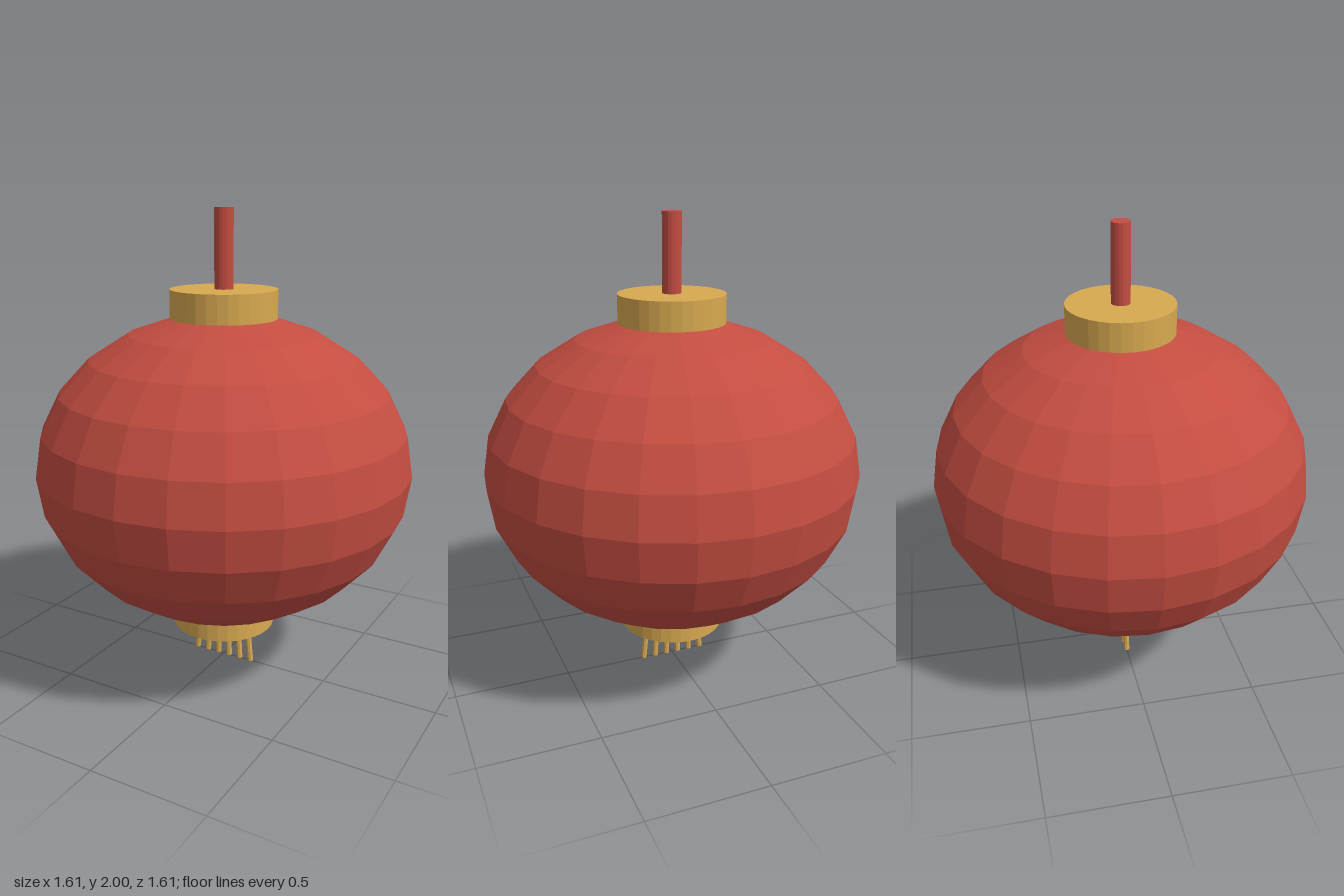
import * as THREE from 'three';

export function createModel() {
  const root = new THREE.Group();
  root.name = 'lantern';

  const flat = (name, color) => {
    const m = new THREE.MeshStandardMaterial({ color, flatShading: true });
    m.name = name;
    return m;
  };
  const red = flat('lantern red', 0xc44d41);
  const gold = flat('brass gold', 0xd8a950);

  const add = (name, geometry, material, x, y) => {
    const mesh = new THREE.Mesh(geometry, material);
    mesh.name = name;
    mesh.position.set(x, y, 0);
    root.add(mesh);
    return mesh;
  };
  // Upright cylinder between two heights
  const post = (name, radius, y0, y1, sides, material) =>
    add(name, new THREE.CylinderGeometry(radius, radius, y1 - y0, sides), material, 0, (y0 + y1) / 2);

  // Squashed faceted paper body
  const body = new THREE.SphereGeometry(0.805, 24, 12);
  body.scale(1, 0.66 / 0.805, 1);
  add('body', body, red, 0, 0.92);

  // End caps and hanging rod
  post('topCap', 0.225, 1.555, 1.675, 32, gold);
  post('bottomCap', 0.225, 0.18, 0.283, 32, gold);
  post('hangingRod', 0.04, 1.66, 2, 16, red);

  // Row of tassel strands fanning outward towards the bottom
  for (let i = 0; i < 6; i++) {
    const k = i - 2.5;
    const strand = add('tasselStrand', new THREE.CylinderGeometry(0.013, 0.013, 0.2, 8), gold, k * 0.0517, 0.102);
    strand.rotation.z = k * 0.04;
  }

  return root;
}
